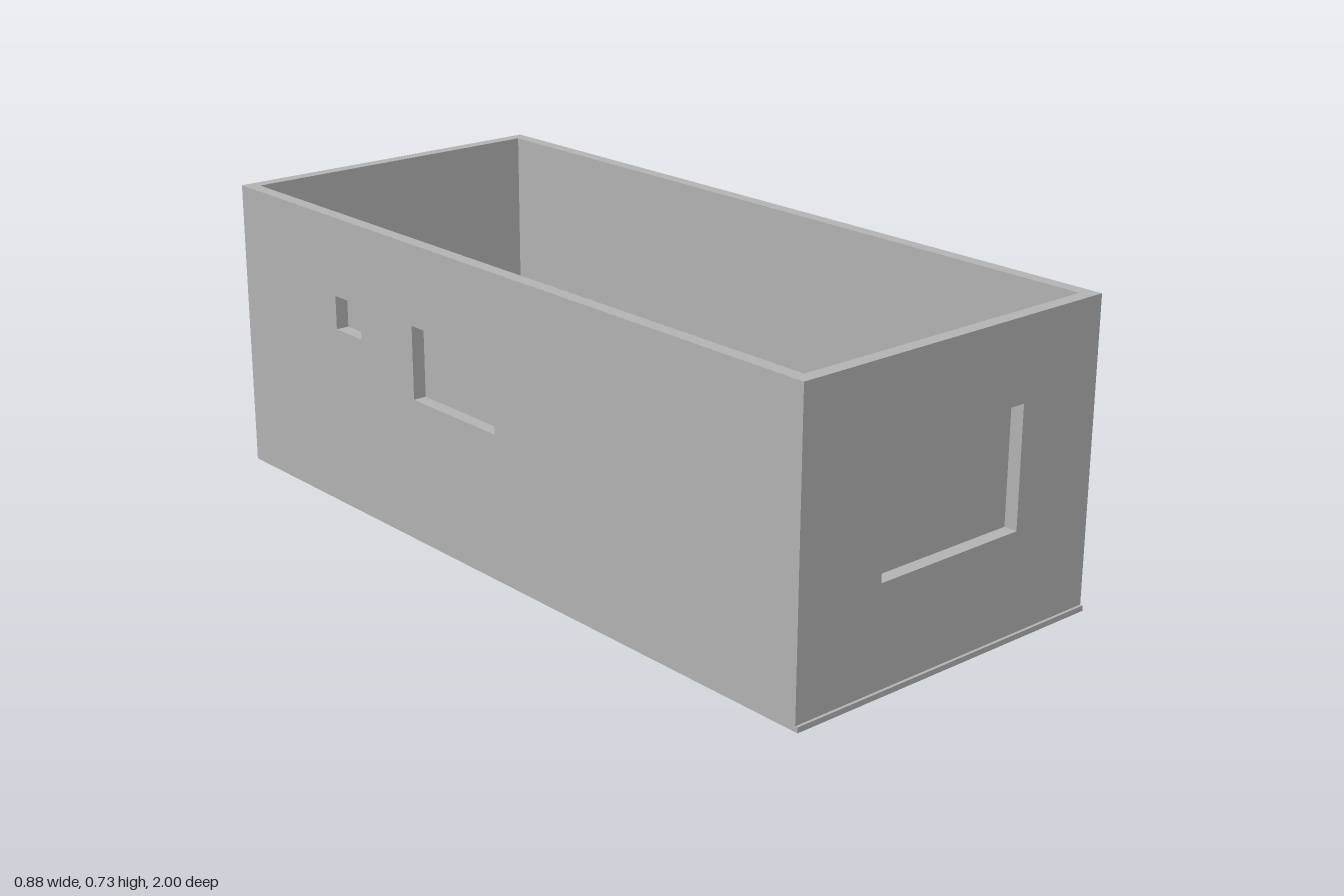
import * as THREE from 'three';

const HEIGHT = 0.73, THICK = 0.033, HALF_W = 0.44;
const BACK = -1, FRONT = 0.993;
const MARGIN = 0.014, PANEL = 0.006;

const rect = (Type, x0, y0, x1, y1) => new Type([
  new THREE.Vector2(x0, y0), new THREE.Vector2(x1, y0),
  new THREE.Vector2(x1, y1), new THREE.Vector2(x0, y1),
]);

export function createModel() {
  const model = new THREE.Group();
  model.name = 'openRoom';
  const grey = new THREE.MeshStandardMaterial({ color: 0xb2b2b2 });
  grey.name = 'plaster grey';

  const add = (parent, name, geometry, x = 0, y = 0, z = 0) => {
    const mesh = new THREE.Mesh(geometry, grey);
    mesh.name = name;
    mesh.position.set(x, y, z);
    parent.add(mesh);
  };

  // A wall from x0 to x1, its inner face at local z = 0 and its outside at +z.
  // Each opening [name, x0, y0, x1, y1] is closed by a thin panel on the inside.
  const wall = (name, x0, x1, angle, x, z, openings = []) => {
    const group = new THREE.Group();
    group.name = name;
    group.position.set(x, 0, z);
    group.rotation.y = angle;
    const shape = rect(THREE.Shape, x0, 0, x1, HEIGHT);
    for (const [label, a, b, c, d] of openings) {
      shape.holes.push(rect(THREE.Path, a, b, c, d));
      const panel = new THREE.BoxGeometry(c - a + 2 * MARGIN, d - b + 2 * MARGIN, PANEL);
      add(group, label, panel, (a + c) / 2, (b + d) / 2, -PANEL / 2);
    }
    add(group, name + 'Shell', new THREE.ExtrudeGeometry(shape, { depth: THICK, bevelEnabled: false }));
    model.add(group);
  };

  const innerX = HALF_W - THICK, innerFront = FRONT - THICK, innerBack = BACK + THICK;

  // End walls
  wall('frontWall', -HALF_W, HALF_W, 0, 0, innerFront, [
    ['frontWindowPanel', -0.207, 0.252, 0.205, 0.538],
  ]);
  wall('backWall', -HALF_W, HALF_W, Math.PI, 0, innerBack, [
    ['backDoorPanel', 0.15, 0.2, 0.25, 0.535],
  ]);

  // Side walls
  wall('rightWall', innerBack, innerFront, -Math.PI / 2, -innerX, 0, [
    ['smallWindowPanel', -0.595, 0.45, -0.49, 0.534],
    ['largeWindowPanel', -0.28, 0.354, 0.028, 0.534],
  ]);
  wall('leftWall', -innerFront, -innerBack, Math.PI / 2, innerX, 0);

  // Low lip along the foot of the front wall
  add(model, 'frontLip', new THREE.BoxGeometry(2 * HALF_W, 0.013, 1 - FRONT), 0, 0.0065, (1 + FRONT) / 2);

  return model;
}
